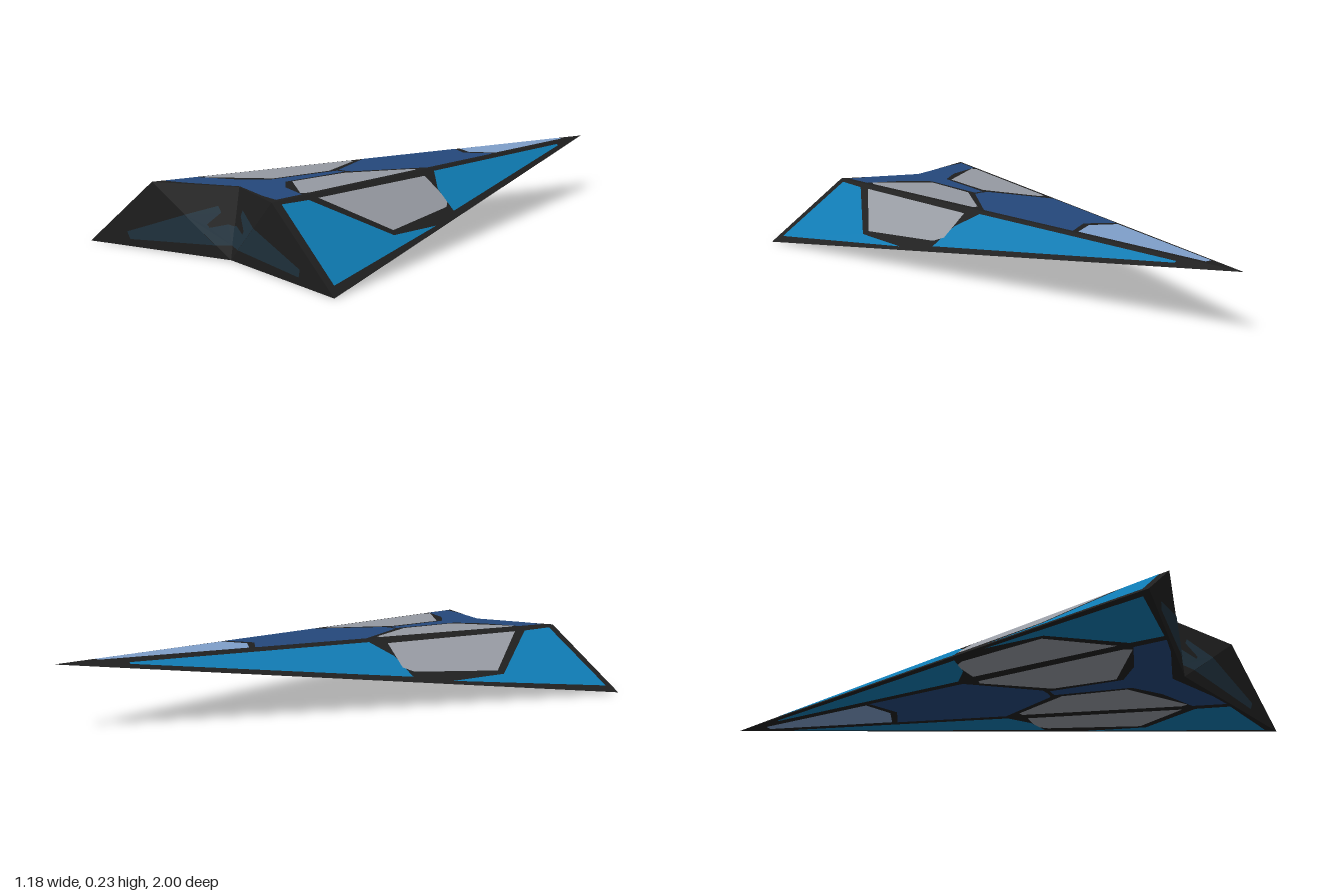
import * as THREE from 'three';

const mat = (name, color, flatShading = true) => {
  const m = new THREE.MeshStandardMaterial({ color });
  m.name = name;
  return m;
};

// Hull corners of the +x half
const v = (x, y, z) => new THREE.Vector3(x, y, z);
const NOSE = v(0, 0.227, -1);
const SHOULDER = v(0.29, 0.227, 0.96);
const WINGTIP = v(0.59, 0, 1);
const NOTCH_TOP = v(0, 0.227, 0.84);
const NOTCH_LOW = v(0, 0, 0.88);

// Hull facets of the +x half, corners counter-clockwise from outside
const FACETS = {
  deck: [NOSE, NOTCH_TOP, SHOULDER],
  side: [NOSE, SHOULDER, WINGTIP],
  belly: [NOSE, WINGTIP, NOTCH_LOW],
  sternOuter: [NOTCH_LOW, WINGTIP, SHOULDER],
  sternInner: [NOTCH_LOW, SHOULDER, NOTCH_TOP],
};

// Panel outlines as [x, z], seen from above
const CANOPY = [[0, -0.85], [0.012, -0.85], [0.088, -0.32], [0, -0.27]];
const SPINE = [[0, -0.24], [0.095, -0.3], [0.158, 0.135], [0.03, 0.38], [0, 0.385]];
const TAIL = [[0, 0.4], [0.018, 0.4], [0.035, 0.68], [0.12, 0.755], [0.255, 0.81],
  [0.272, 0.927], [0.19, 0.908], [0, 0.838]];
const INNER_VENT = [[0.145, 0.195], [0.163, 0.2], [0.248, 0.775], [0.238, 0.8], [0.045, 0.66], [0.035, 0.42]];
const OUTER_VENT = [[0.2, 0.2], [0.295, 0.19], [0.32, 0.225], [0.395, 0.56], [0.278, 0.765]];
const FORE_WING = [[0.05, -0.76], [0.056, -0.76], [0.335, 0.205], [0.25, 0.19], [0.18, 0.13]];
const AFT_WING = [[0.386, 0.35], [0.555, 0.968], [0.298, 0.93], [0.285, 0.81], [0.412, 0.575]];

// Stern patch outlines as [x, y], seen from the stern
const STERN_OUTER = [[0.0545, 0.0423], [0.41, 0.025], [0.42, 0.05], [0.168, 0.13]];
const STERN_INNER = [[0, 0.045], [0.0545, 0.0423], [0.168, 0.13], [0.06, 0.165], [0.048, 0.145],
  [0.09, 0.105], [0.08, 0.095], [0.02, 0.11], [0, 0.105]];

// Flat-shaded mesh from triangles, mirrored to the other half when side is -1
function triMesh(name, tris, material, side) {
  const pos = [];
  for (const t of tris) {
    for (const p of side > 0 ? t : [t[0], t[2], t[1]]) pos.push(p.x * side, p.y, p.z);
  }
  const g = new THREE.BufferGeometry();
  g.setAttribute('position', new THREE.Float32BufferAttribute(pos, 3));
  g.computeVertexNormals();
  const mesh = new THREE.Mesh(g, material);
  mesh.name = name;
  return mesh;
}

// Projects an outline onto a facet (missing axis solved) and lifts it slightly
function panelTris(outline, facet, missing) {
  const plane = new THREE.Plane().setFromCoplanarPoints(...facet);
  const n = plane.normal;
  const pts = outline.map(([a, b]) => {
    const p = missing === 'y' ? v(a, 0, b) : v(a, b, 0);
    p[missing] = -plane.distanceToPoint(p) / n[missing];
    const lifted = p.addScaledVector(n, 0.002);
    if (a === 0) lifted.x = 0;
    return lifted;
  });
  const flat = outline.map(([a, b]) => new THREE.Vector2(a, b));
  return THREE.ShapeUtils.triangulateShape(flat, []).map((f) => {
    const t = f.map((i) => pts[i]);
    const facing = t[1].clone().sub(t[0]).cross(t[2].clone().sub(t[0])).dot(n);
    return facing > 0 ? t : [t[0], t[2], t[1]];
  });
}

export function createModel() {
  const model = new THREE.Group();
  model.name = 'dartCraft';

  const frame = mat('frameBlack', 0x1f1f1f);
  const wing = mat('wingBlue', 0x0e7ab2);
  const navy = mat('spineNavy', 0x24487c);
  const grey = mat('ventGrey', 0x969aa2);
  const glass = mat('canopyBlue', 0x7f9fca);
  const stern = mat('sternSlate', 0x20333f);

  // [name, outline, upper facet, material]; each is repeated on the belly
  const panels = [
    ['canopy', CANOPY, 'deck', glass],
    ['spinePanel', SPINE, 'deck', navy],
    ['tailPanel', TAIL, 'deck', navy],
    ['innerVent', INNER_VENT, 'deck', grey],
    ['outerVent', OUTER_VENT, 'side', grey],
    ['foreWingPanel', FORE_WING, 'side', wing],
    ['aftWingPanel', AFT_WING, 'side', wing],
  ];

  for (const side of [1, -1]) {
    const half = new THREE.Group();
    half.name = side > 0 ? 'leftHalf' : 'rightHalf';

    // Black hull
    half.add(triMesh('hull', Object.values(FACETS), frame, side));

    // Painted panels above and below
    for (const [name, outline, facet, material] of panels) {
      half.add(triMesh(name, panelTris(outline, FACETS[facet], 'y'), material, side));
      half.add(triMesh(name + 'Underside', panelTris(outline, FACETS.belly, 'y'), material, side));
    }

    // Stern patch
    const patch = [
      ...panelTris(STERN_OUTER, FACETS.sternOuter, 'z'),
      ...panelTris(STERN_INNER, FACETS.sternInner, 'z'),
    ];
    half.add(triMesh('sternPatch', patch, stern, side));
    model.add(half);
  }
  return model;
}
